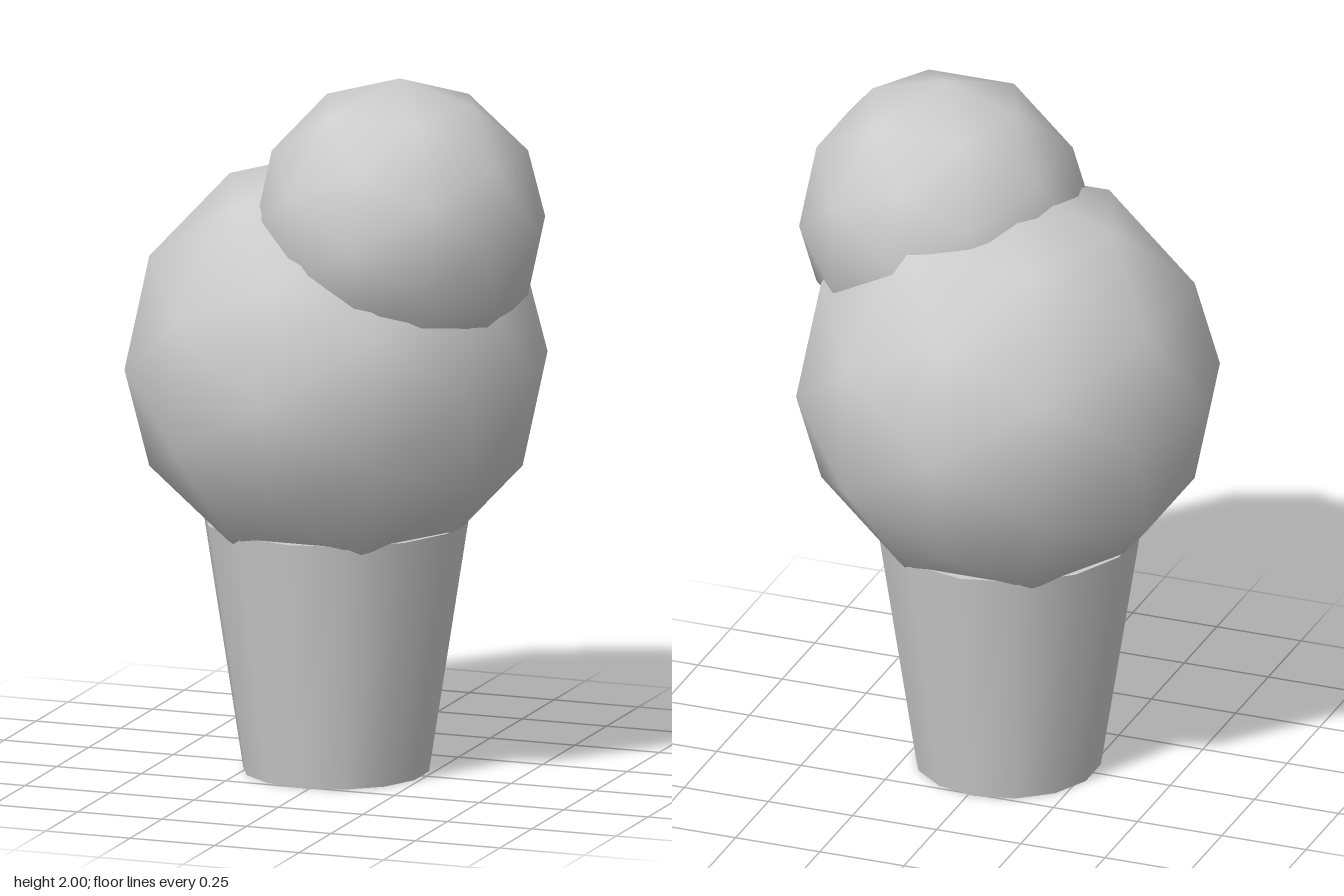
import * as THREE from 'three';

export function createModel() {
  const group = new THREE.Group();
  const grey = new THREE.MeshStandardMaterial({ color: 0xcccccc });
  grey.name = 'light grey';

  const add = (name, geometry, x, y, z) => {
    const mesh = new THREE.Mesh(geometry, grey);
    mesh.name = name;
    mesh.position.set(x, y, z);
    group.add(mesh);
  };

  // Tapered, closed cone with smooth sides
  add('cone', new THREE.CylinderGeometry(0.37, 0.26, 0.715, 14), -0.018, 0.3575, 0);

  // Low-poly scoops with smooth normals
  add('largeScoop', new THREE.IcosahedronGeometry(0.597, 1), -0.018, 1.16, 0);
  add('smallScoop', new THREE.IcosahedronGeometry(0.41, 1), 0.205, 1.59, 0.09);

  return group;
}
